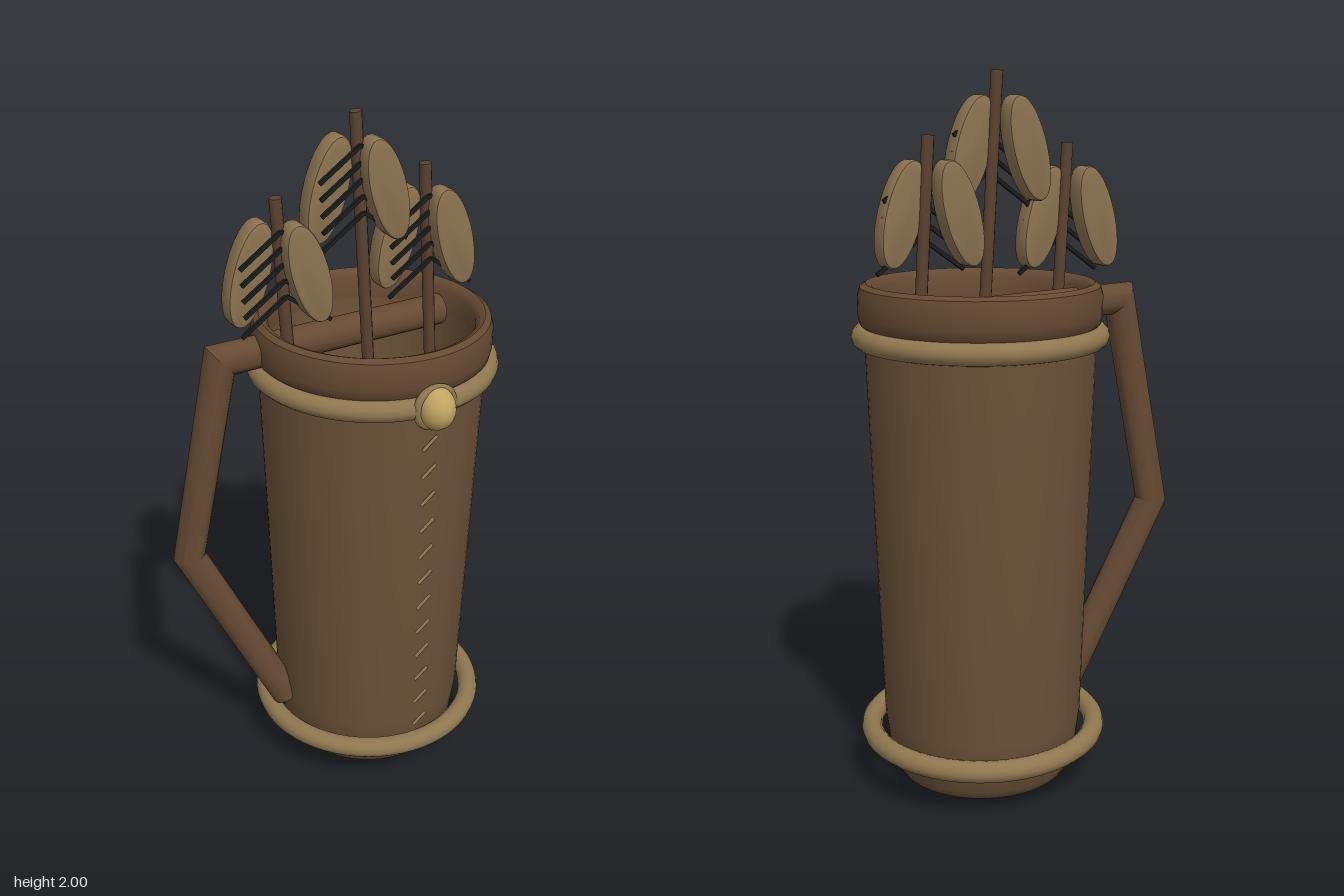
import * as THREE from 'three';
import { toCreasedNormals } from 'three/addons/utils/BufferGeometryUtils.js';

const mat = (name, color) => {
  const m = new THREE.MeshStandardMaterial({ color });
  m.name = name;
  return m;
};

export function createModel() {
  const leather = mat('leather', 0x6b5238);
  const darkLeather = mat('dark leather', 0x654a33);
  const wood = mat('shaft wood', 0x5c4230);
  const tan = mat('tan trim', 0x8f7850);
  const feather = mat('feather', 0x8b7350);
  const brass = mat('brass', 0xc2a562);
  const black = mat('black barb', 0x1c1c1c);

  const root = new THREE.Group();
  root.name = 'quiver';
  const CX = 0.12, CZ = -0.025;

  const add = (parent, name, geometry, material, x = 0, y = 0, z = 0) => {
    const mesh = new THREE.Mesh(geometry, material);
    mesh.name = name;
    mesh.position.set(x, y, z);
    parent.add(mesh);
    return mesh;
  };
  const lathe = (pts) => toCreasedNormals(
    new THREE.LatheGeometry(pts.map(p => new THREE.Vector2(...p)), 64), 0.7);

  // Tapered body, rolled rim and inner lining
  add(root, 'body', lathe([[0, 0], [0.2, 0.01], [0.245, 0.025], [0.266, 0.055],
    [0.285, 0.2], [0.32, 1.33]]), leather, CX, 0, CZ);
  add(root, 'rim', lathe([[0.315, 1.32], [0.33, 1.335], [0.335, 1.36], [0.335, 1.41],
    [0.328, 1.435], [0.312, 1.445], [0.296, 1.438], [0.286, 1.42], [0.282, 1.36]]), darkLeather, CX, 0, CZ);
  add(root, 'lining', lathe([[0.282, 1.36], [0.25, 0.12], [0.22, 0.06], [0, 0.04]]), leather, CX, 0, CZ);

  // Upper and lower hoops
  for (const [name, y] of [['upperHoop', 1.3], ['lowerHoop', 0.15]]) {
    add(root, name, new THREE.TorusGeometry(0.325, 0.03, 12, 64), tan, CX, y, CZ).rotation.x = Math.PI / 2;
  }

  // Button with its collar
  const button = add(root, 'button', new THREE.SphereGeometry(1, 24, 16), brass, CX, 1.3, 0.322);
  button.scale.set(0.05, 0.06, 0.055);
  add(root, 'buttonCollar', new THREE.TorusGeometry(0.055, 0.012, 8, 32), tan, CX, 1.3, 0.315);

  // Slanted stitches down the front seam
  const stitchGeo = new THREE.CylinderGeometry(0.005, 0.005, 0.055, 6);
  for (let i = 0; i < 12; i++) {
    add(root, 'stitch', stitchGeo, tan, CX, 0.23 + i * 0.0866, 0.298).rotation.z = -0.88;
  }

  // Strap: one mitred tube across the mouth and down the side
  const path = [[0.385, 1.365, -0.1], [-0.32, 1.37, -0.07], [-0.43, 0.76, -0.1], [-0.165, 0.2, -0.035]]
    .map(p => new THREE.Vector3(...p));
  const strap = new THREE.CylinderGeometry(0.045, 0.045, 1, 16, path.length - 1);
  const pos = strap.attributes.position;
  const frames = path.map((p, i) => {
    const a = path[Math.max(i - 1, 0)], b = path[Math.min(i + 1, path.length - 1)];
    const inDir = i ? a.clone().sub(p).normalize() : p.clone().sub(b).normalize();
    const outDir = i < path.length - 1 ? p.clone().sub(b).normalize() : inDir;
    const t = inDir.clone().add(outDir).normalize();
    const n = t.clone().cross(new THREE.Vector3(0, 0, 1)).normalize();
    const side = n.clone().cross(t);
    return { p, n: n.divideScalar(t.dot(outDir)), side };
  });
  for (let i = 0; i < pos.count; i++) {
    const f = frames[Math.round((0.5 - pos.getY(i)) * (path.length - 1))];
    const v = f.p.clone().addScaledVector(f.n, pos.getX(i)).addScaledVector(f.side, pos.getZ(i));
    pos.setXYZ(i, v.x, v.y, v.z);
  }
  add(root, 'strap', toCreasedNormals(strap, 0.45), darkLeather);

  // Feather vane: thick bevelled ellipse
  const oval = new THREE.Shape();
  oval.absellipse(0, 0, 0.045, 0.135, 0, Math.PI * 2);
  const vaneGeo = toCreasedNormals(new THREE.ExtrudeGeometry(oval, {
    depth: 0.04, bevelEnabled: true, bevelThickness: 0.01, bevelSize: 0.01, bevelSegments: 2, curveSegments: 20,
  }).translate(0, 0, -0.02), 0.6);

  // Arrows leaning slightly, each with two vanes and chevron barbs
  const slope = 0.065, bottom = 0.45;
  for (const [x, top] of [[-0.167, 1.81], [0.063, 2], [0.275, 1.835]]) {
    const arrow = new THREE.Group();
    arrow.name = 'arrow';
    arrow.position.set(x, top, 0);
    root.add(arrow);

    const drop = top - bottom;
    const shaft = add(arrow, 'shaft', new THREE.CylinderGeometry(0.017, 0.017, Math.hypot(drop, drop * slope), 10),
      wood, slope * drop / 2, -drop / 2, -0.022);
    shaft.rotation.z = Math.atan(slope);

    for (const s of [-1, 1]) {
      const vane = add(arrow, s < 0 ? 'rightVane' : 'leftVane', vaneGeo, feather,
        0.002 + s * 0.07, -0.203, s < 0 ? -0.058 : 0.006);
      vane.rotation.z = s * 0.28;

      for (let i = 0; i < 5; i++) {
        const len = i ? 0.145 : 0.16;
        const apexY = -0.265 + i * 0.045;
        const angle = 0.61;
        const barb = add(arrow, 'barb', new THREE.BoxGeometry(len, 0.011, 0.009), black,
          -apexY * slope + s * Math.cos(angle) * len / 2, apexY - Math.sin(angle) * len / 2, -0.004);
        barb.rotation.z = -s * angle;
      }
    }
  }
  return root;
}
